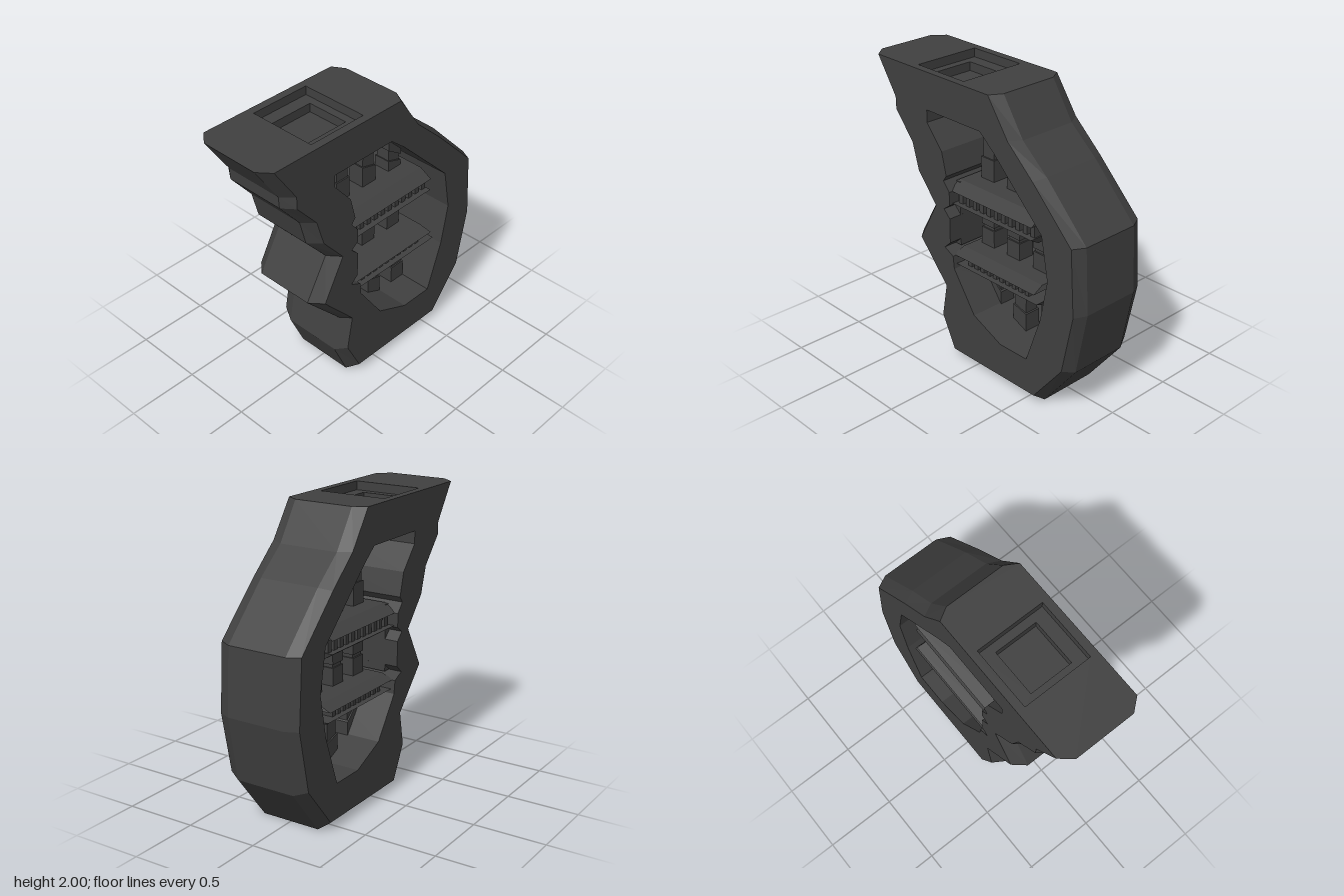
import * as THREE from 'three';

const steel = new THREE.MeshStandardMaterial({ color: 0x404040 });
steel.name = 'dark steel';

// Outer profile, clockwise from the top left: [x, y] at mid depth, then [x, y] on the front and back faces
const profile = [
  [-0.95, 2, -0.88, 2], [0.215, 2, 0.165, 2], [0.38, 1.75, 0.335, 1.755], [0.585, 1.575, 0.55, 1.56],
  [0.918, 1.233, 0.875, 1.235], [0.945, 0.78, 0.905, 0.78], [0.862, 0.334, 0.82, 0.36],
  [0.6, 0, 0.582, 0.062], [-0.225, 0, -0.183, 0.062], [-0.336, 0.25, -0.296, 0.29],
  [-0.29, 0.505, -0.253, 0.53], [-0.574, 0.81, -0.5, 0.808], [-0.408, 1.098, -0.34, 1.098],
  [-0.572, 1.288, -0.505, 1.296], [-0.62, 1.47, -0.56, 1.482], [-0.775, 1.66, -0.715, 1.665],
  [-0.78, 1.742, -0.717, 1.752],
];
// Window through the body, clockwise, with three notches on its left side
const hole = [
  [-0.405, 1.745], [0.09, 1.745], [0.21, 1.645], [0.63, 1.235], [0.685, 0.94], [0.63, 0.65], [0.51, 0.305],
  [0.27, 0.305], [0.02, 0.415], [-0.17, 0.69], [-0.18, 0.78], [-0.26, 0.82], [-0.205, 0.87],
  [-0.205, 1.045], [-0.26, 1.1], [-0.205, 1.14], [-0.205, 1.235], [-0.26, 1.3], [-0.23, 1.34],
  [-0.27, 1.5], [-0.405, 1.66],
];
const Z_FACE = 0.295, Z_MID = 0.21;

function addMesh(parent, geometry, name) {
  const flat = geometry.index ? geometry.toNonIndexed() : geometry;
  flat.computeVertexNormals();
  const mesh = new THREE.Mesh(flat, steel);
  mesh.name = name;
  parent.add(mesh);
  return mesh;
}

// Strip of quads between two closed loops of points
function band(a, b, skip = -1) {
  const p = [];
  a.forEach((_, i) => {
    if (i === skip) return;
    const j = (i + 1) % a.length;
    p.push(...a[i], ...a[j], ...b[j], ...a[i], ...b[j], ...b[i]);
  });
  return new THREE.BufferGeometry().setAttribute('position', new THREE.Float32BufferAttribute(p, 3));
}

function flatShape(points, holePoints) {
  const vec = (l) => l.map(([x, y]) => new THREE.Vector2(x, y));
  const shape = new THREE.Shape(vec(points));
  shape.holes.push(new THREE.Path(vec(holePoints)));
  return new THREE.ShapeGeometry(shape);
}

function rect(x0, x1, hz, y) {
  return [[x0, y, -hz], [x1, y, -hz], [x1, y, hz], [x0, y, hz]];
}

function buildBody() {
  const body = new THREE.Group();
  body.name = 'body';
  const mid = (z) => profile.map((p) => [p[0], p[1], z]);
  const face = (z) => profile.map((p) => [p[2], p[3], z]);
  const rim = (z) => hole.map((p) => [p[0], p[1], z]);

  // Sides and chamfers; the top edge is left to the top plate
  addMesh(body, band(mid(Z_MID), mid(-Z_MID), 0), 'outerWall');
  addMesh(body, band(face(Z_FACE), mid(Z_MID), 0), 'frontChamfer');
  addMesh(body, band(mid(-Z_MID), face(-Z_FACE), 0), 'backChamfer');
  addMesh(body, band(rim(-Z_FACE), rim(Z_FACE)), 'windowWall');

  // Front and back faces
  const front = flatShape(profile.map((p) => [p[2], p[3]]), hole);
  const back = flatShape(profile.map((p) => [-p[2], p[3]]), hole.map(([x, y]) => [-x, y]));
  addMesh(body, front, 'frontFace').position.z = Z_FACE;
  const backMesh = addMesh(body, back, 'backFace');
  backMesh.rotation.y = Math.PI;
  backMesh.position.z = -Z_FACE;

  // Top plate with a stepped recess
  const steps = [
    rect(-0.54, -0.11, 0.24, 2), rect(-0.54, -0.11, 0.24, 1.94),
    rect(-0.485, -0.165, 0.15, 1.94), rect(-0.485, -0.165, 0.15, 1.88), rect(-0.325, -0.325, 0, 1.88),
  ];
  const half = [[-0.95, Z_MID], [-0.88, Z_FACE], [0.165, Z_FACE], [0.215, Z_MID]];
  const outline = [...half, ...half.map(([x, z]) => [x, -z]).reverse()];
  const top = flatShape(outline, steps[0].map(([x, , z]) => [x, -z])).rotateX(-Math.PI / 2);
  addMesh(body, top, 'topPlate').position.y = 2;
  for (let i = 1; i < steps.length; i++) addMesh(body, band(steps[i], steps[i - 1]), 'topRecess');

  // Core of the wall behind the notches
  addMesh(body, new THREE.BoxGeometry(0.115, 0.46, 0.4).translate(-0.2626, 1.05, 0), 'notchCore');
  return body;
}

// Box whose vertices are placed by a rule from unit coordinates (u, v, w)
function shapedBox(rule) {
  const g = new THREE.BoxGeometry(1, 1, 1);
  const p = g.attributes.position;
  for (let i = 0; i < p.count; i++) p.setXYZ(i, ...rule(p.getX(i) + 0.5, p.getY(i) + 0.5, p.getZ(i) * 2));
  return g;
}

// Slab running along x, sloped along both long edges and at its right end
function slab(parent, name, x0, y0, xr0, hz0, y1, xr1, hz1) {
  addMesh(parent, shapedBox((u, v, w) => [
    u ? (v ? xr1 : xr0) : x0, v ? y1 : y0, w * (v ? hz1 : hz0),
  ]), name);
}

// Shelf: two slabs with a row of bars between them
function buildShelf({ name, levels, ends, x0, first, pitch, count, barWidth }) {
  const shelf = new THREE.Group();
  shelf.name = name;
  const [a, b, c, d] = levels;
  slab(shelf, 'lowerSlab', x0, a, ends[0], 0.19, b, ends[1], 0.27);
  slab(shelf, 'upperSlab', x0, c, ends[2], 0.27, d, ends[3], 0.18);
  for (let i = 0; i < count; i++) {
    const bar = new THREE.BoxGeometry(barWidth, c - b + 0.01, 0.46);
    addMesh(shelf, bar, 'shelfBar').position.set(first + i * pitch, (b + c) / 2, 0);
  }
  return shelf;
}

// Height of the window edge at x, between the given hole points
function edgeY(x, from, to) {
  for (let i = from; i < to; i++) {
    const [a, b] = [hole[i], hole[i + 1]];
    if ((x - a[0]) * (x - b[0]) <= 0) return a[1] + ((b[1] - a[1]) * (x - a[0])) / (b[0] - a[0]);
  }
  return hole[to][1];
}

// Column of wide ends and a narrow shaft, sheared to meet the surfaces at both ends
function buildColumn(name, x, low, high, cuts) {
  const column = new THREE.Group();
  column.name = name;
  const parts = [[0, cuts[0], 0.06], [cuts[0], cuts[1], 0.05], [cuts[1], 1, 0.06]];
  parts.forEach(([f0, f1, r], i) => {
    addMesh(column, shapedBox((u, v, w) => {
      const px = x + (u * 2 - 1) * r;
      const y0 = low(px);
      return [px, y0 + (high(px) - y0) * (v ? f1 : f0), w * r];
    }), ['columnBase', 'columnShaft', 'columnHead'][i]);
  });
  return column;
}

export function createModel() {
  const model = new THREE.Group();
  model.name = 'windowedGrip';
  model.add(buildBody());

  model.add(buildShelf({
    name: 'upperShelf', levels: [1.1, 1.15, 1.235, 1.288], ends: [0.5, 0.517, 0.517, 0.515],
    x0: -0.23, first: -0.165, pitch: 0.0655, count: 11, barWidth: 0.036,
  }));
  model.add(buildShelf({
    name: 'lowerShelf', levels: [0.685, 0.72, 0.78, 0.81], ends: [0.555, 0.57, 0.545, 0.53],
    x0: -0.2, first: -0.085, pitch: 0.059, count: 10, barWidth: 0.032,
  }));

  const at = (y) => () => y;
  for (const x of [-0.095, 0.145, 0.39]) {
    model.add(buildColumn('upperColumn', x, at(1.285), (px) => edgeY(px, 0, 3), [0.33, 0.67]));
    model.add(buildColumn('middleColumn', x, at(0.805), at(1.105), [0.42, 0.5]));
  }
  for (const x of [-0.03, 0.21, 0.45]) {
    model.add(buildColumn('lowerColumn', x, (px) => edgeY(px, 6, 9), at(0.69), [0.33, 0.68]));
  }
  return model;
}
